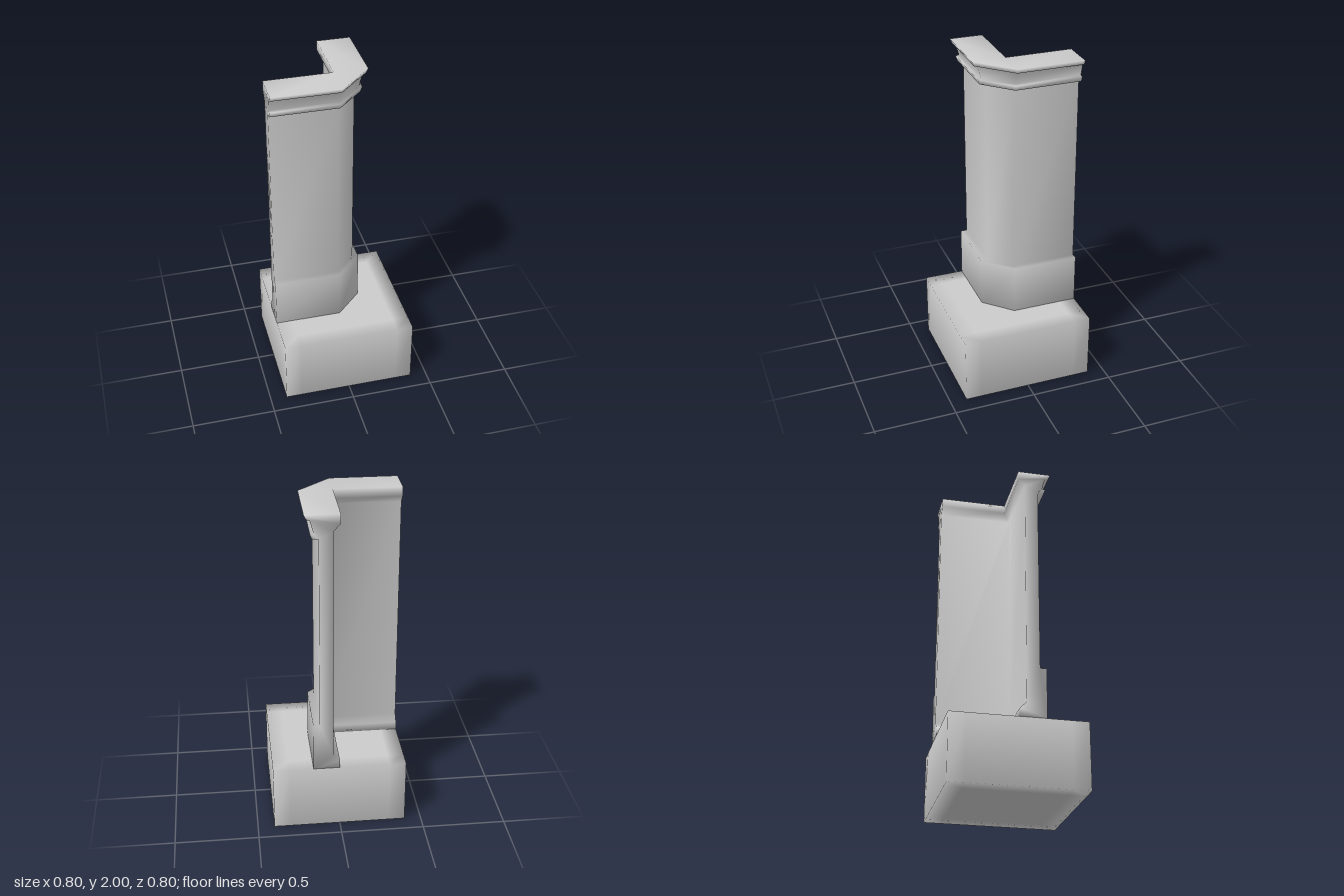
import * as THREE from 'three';
import { mergeVertices } from 'three/addons/utils/BufferGeometryUtils.js';

const END = -0.4; // where both arms of the corner pillar stop

// Outer face of the wall, bottom to top, as [distance, height]
const OUTER = [
  [0.158, 0.4], [0.158, 0.7], // plinth
  [0.12, 0.7], [0.12, 1.86], // shaft
  [0.157, 1.86], [0.167, 1.89], // lower moulding
  [0.147, 1.895], [0.168, 1.97], // flared neck
  [0.187, 1.972], [0.2, 2], // upper moulding
];
// Inner face, top to bottom, recessed between two lips
const INNER = [
  [0, 2], [0, 1.945], [0.04, 1.9],
  [0.04, 0.49], [0, 0.45], [0, 0.4],
];

// Weld corners so that shading runs softly over every edge
function soften(geometry) {
  geometry.deleteAttribute('normal');
  geometry.deleteAttribute('uv');
  const welded = mergeVertices(geometry, 1e-4);
  welded.computeVertexNormals();
  return welded;
}

// Sweep the wall section round the corner: chamfered outside, square inside
function sweepWall() {
  const profile = [...OUTER, ...INNER];
  const n = profile.length;
  const positions = [];
  const index = [];
  profile.forEach(([d, y], i) => {
    const bend = i < OUTER.length ? 0 : d;
    positions.push(END, y, d, bend, y, d, d, y, bend, d, y, END);
  });
  for (let i = 0; i < n; i++) {
    const next = (i + 1) % n;
    for (let s = 0; s < 3; s++) {
      const a = i * 4 + s;
      const c = next * 4 + s;
      index.push(a, a + 1, c + 1, a, c + 1, c);
    }
  }
  // Close the two arm ends
  const contour = profile.map(([d, y]) => new THREE.Vector2(d, y));
  for (const [a, b, c] of THREE.ShapeUtils.triangulateShape(contour, [])) {
    index.push(a * 4, b * 4, c * 4, c * 4 + 3, b * 4 + 3, a * 4 + 3);
  }
  const geometry = new THREE.BufferGeometry();
  geometry.setAttribute('position', new THREE.Float32BufferAttribute(positions, 3));
  geometry.setIndex(index);
  return soften(geometry);
}

export function createModel() {
  const group = new THREE.Group();
  group.name = 'cornerPillar';
  const material = new THREE.MeshStandardMaterial({ color: 0xcccccc });

  // Square block underneath
  const base = new THREE.Mesh(soften(new THREE.BoxGeometry(0.8, 0.4, 0.8, 8, 1, 8)), material);
  base.name = 'base';
  base.position.y = 0.2;
  group.add(base);

  // Plinth, shaft and moulded cap in one continuous wall
  const pillar = new THREE.Mesh(sweepWall(), material);
  pillar.name = 'pillar';
  group.add(pillar);

  return group;
}
